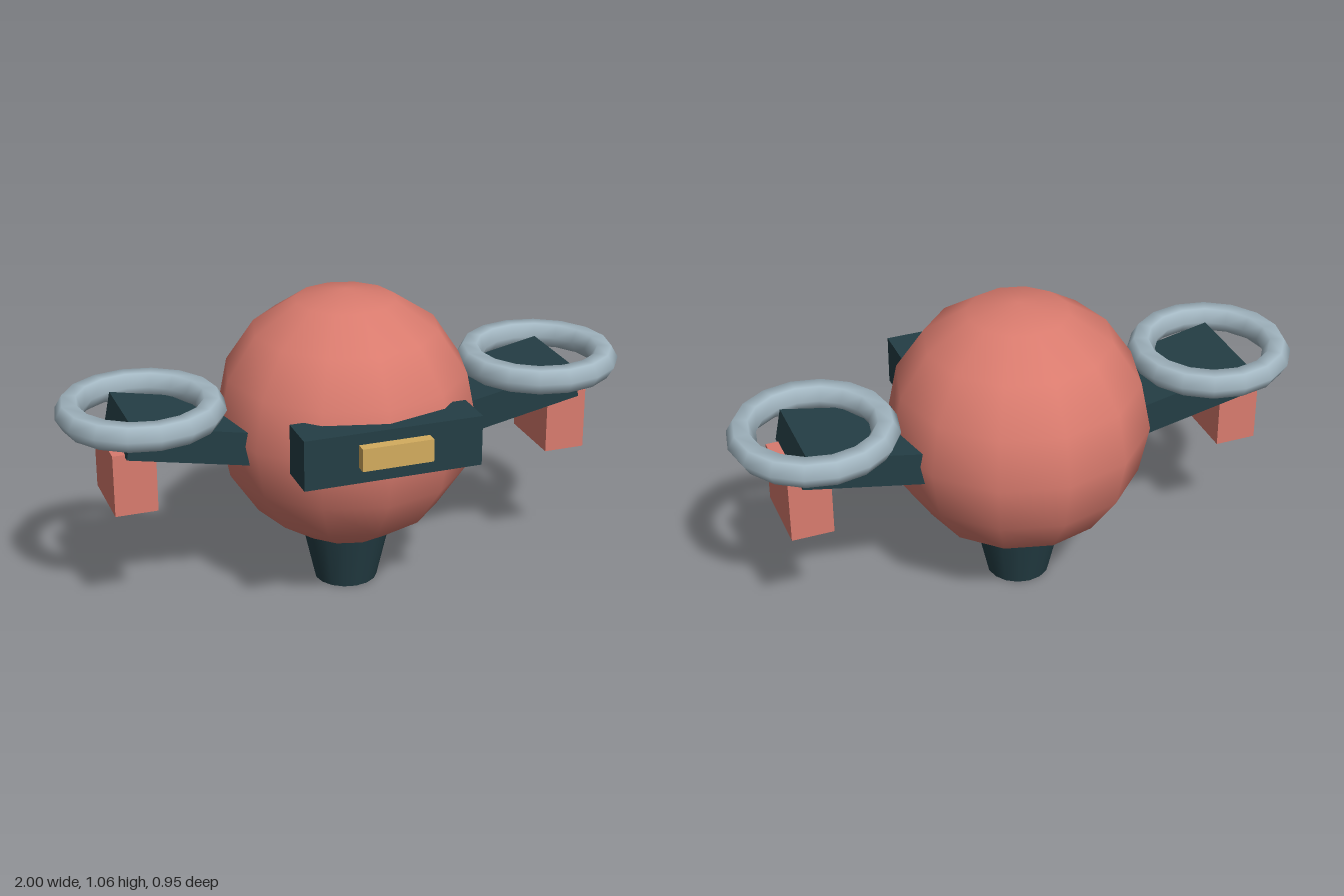
import * as THREE from 'three';

const mat = (name, color) => {
  const m = new THREE.MeshStandardMaterial({ color });
  m.name = name;
  return m;
};

export function createModel() {
  const coral = mat('coral', 0xd97b6e);
  const dark = mat('dark teal', 0x243e45);
  const steel = mat('pale steel', 0xa4b8c3);
  const gold = mat('gold', 0xd3ac5e);

  const model = new THREE.Group();
  model.name = 'hoverDrone';
  const add = (name, geometry, material, x, y, z, parent = model) => {
    const mesh = new THREE.Mesh(geometry, material);
    mesh.name = name;
    mesh.position.set(x, y, z);
    parent.add(mesh);
    return mesh;
  };

  const cz = -0.025; // depth of the body's axis

  // Round body on a tapered base
  add('body', new THREE.SphereGeometry(0.45, 12, 8), coral, 0, 0.615, cz);
  add('base', new THREE.CylinderGeometry(0.16, 0.11, 0.22, 16), dark, 0, 0.11, cz);

  // Visor block with its lamp
  add('visor', new THREE.BoxGeometry(0.612, 0.173, 0.144), dark, 0, 0.658, 0.368);
  add('visorLamp', new THREE.BoxGeometry(0.244, 0.078, 0.045), gold, 0, 0.666, 0.4545);

  // Tilted arm, rotor ring and hanging pod on each side
  const armLength = 0.5, armHeight = 0.115, tilt = 0.195;
  for (const [side, s] of [['left', 1], ['right', -1]]) {
    const wing = new THREE.Group();
    wing.name = side + 'Wing';
    model.add(wing);

    // Arm is pivoted about its lower outer edge
    const armGeo = new THREE.BoxGeometry(armLength, armHeight, 0.32);
    armGeo.translate(-s * armLength / 2, armHeight / 2, 0);
    add(side + 'Arm', armGeo, dark, s * 0.805, 0.627, cz, wing).rotation.z = s * tilt;

    const ring = new THREE.TorusGeometry(0.236, 0.049, 6, 16);
    ring.rotateX(Math.PI / 2);
    add(side + 'RotorRing', ring, steel, s * 0.715, 0.732, cz, wing);

    add(side + 'Pod', new THREE.BoxGeometry(0.145, 0.216, 0.264), coral, s * 0.774, 0.527, cz, wing);
  }
  return model;
}
